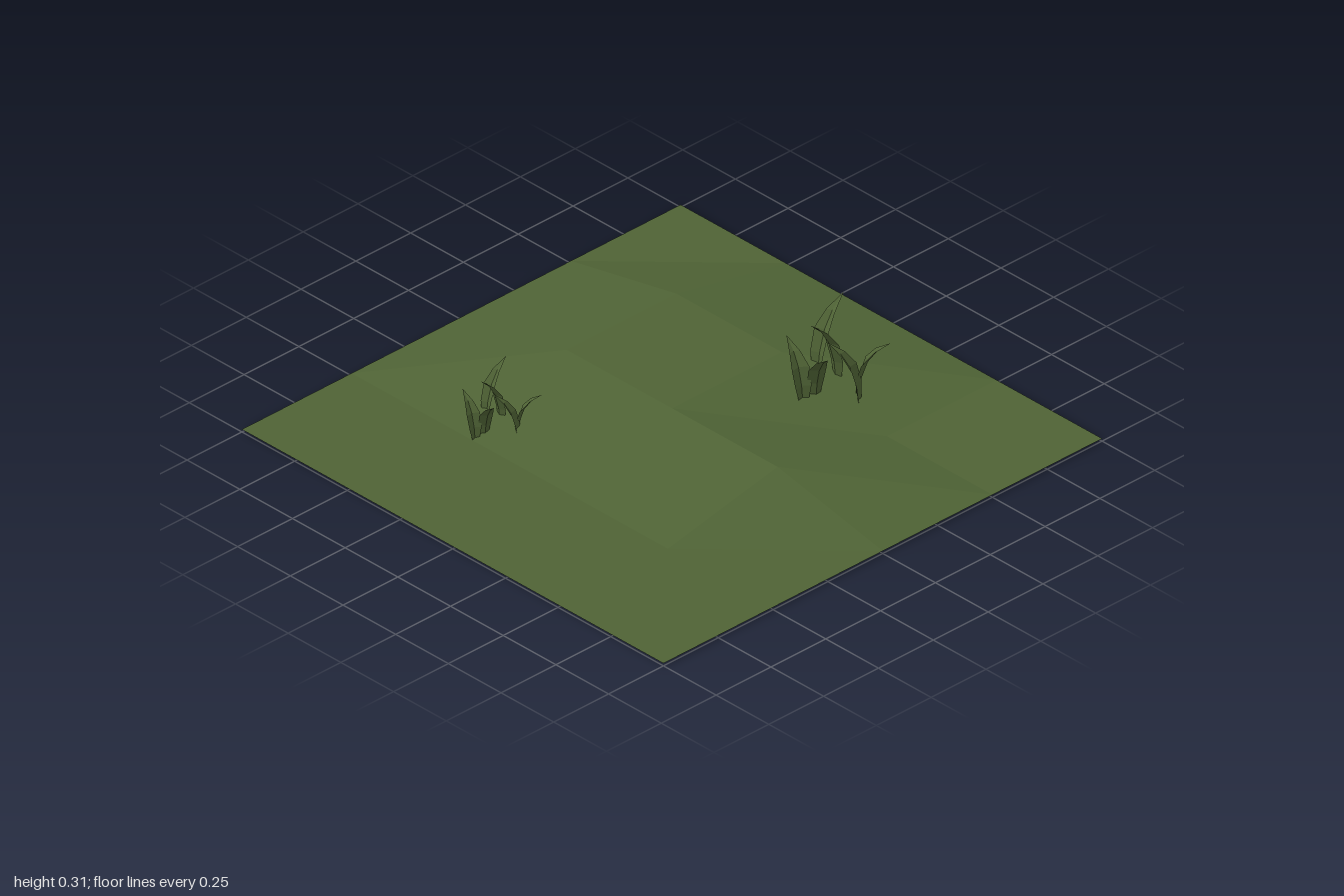
import * as THREE from 'three';

const material = new THREE.MeshStandardMaterial({
  color: 0x4f6335, flatShading: true, side: THREE.DoubleSide,
});

// Low-poly ground: a 4 x 4 grid with a few raised inner corners
function makeGround() {
  const geo = new THREE.PlaneGeometry(2, 2, 4, 4).rotateX(-Math.PI / 2);
  const p = geo.attributes.position;
  const raised = [[-0.5, -0.5], [0, -0.5], [-0.5, 0], [0, 0], [0.5, 0]];
  for (let i = 0; i < p.count; i++) {
    const up = raised.some(([x, z]) => Math.hypot(p.getX(i) - x, p.getZ(i) - z) < 0.01);
    p.setY(i, up ? 0.11 : 0.01);
  }
  const flat = geo.toNonIndexed();
  flat.computeVertexNormals();
  const mesh = new THREE.Mesh(flat, material);
  mesh.name = 'ground';
  return mesh;
}

// Leaf cross-sections: height fraction, half width, lean fraction
const SECTIONS = [[0, 0.016, 0], [0.3, 0.03, 0.08], [0.6, 0.033, 0.27], [0.82, 0.02, 0.57], [1, 0, 1]];

// A folded blade (left edge, midrib, right edge) curving from its base to its tip
function makeBlade([bx, bz], [tx, tz], baseY, tipY) {
  const len = Math.hypot(tx - bx, tz - bz);
  const dx = (tx - bx) / len, dz = (tz - bz) / len;
  const pos = [], index = [];
  SECTIONS.forEach(([h, w, lean], row) => {
    for (const side of [-1, 0, 1]) {
      const out = len * lean - Math.abs(side) * w * 0.45; // edges fold inward
      pos.push(bx + dx * out - dz * w * side, baseY + (tipY - baseY) * h, bz + dz * out + dx * w * side);
    }
    if (row === 0) return;
    for (let k = 0; k < 2; k++) {
      const a = (row - 1) * 3 + k, b = a + 3;
      index.push(a, b, a + 1);
      if (w > 0) index.push(a + 1, b, b + 1);
    }
  });
  const geo = new THREE.BufferGeometry();
  geo.setAttribute('position', new THREE.Float32BufferAttribute(pos, 3));
  geo.setIndex(index);
  const flat = geo.toNonIndexed();
  flat.computeVertexNormals();
  const mesh = new THREE.Mesh(flat, material);
  mesh.name = 'grassBlade';
  return mesh;
}

// Three pairs of blades leaning away from each other: base, tip, base height, tip height
const BLADES = [
  [[0.107, -0.56], [0.107, -0.68], 0.045, 0.315],
  [[0.18, -0.575], [0.18, -0.455], 0.045, 0.315],
  [[0.285, -0.58], [0.375, -0.638], 0.045, 0.255],
  [[0.315, -0.545], [0.228, -0.49], 0.045, 0.255],
  [[0.215, -0.45], [0.31, -0.415], 0.05, 0.255],
  [[0.205, -0.4], [0.1, -0.425], 0.05, 0.255],
];

function makeTuft(name) {
  const tuft = new THREE.Group();
  tuft.name = name;
  for (const blade of BLADES) tuft.add(makeBlade(...blade));
  return tuft;
}

export function createModel() {
  const model = new THREE.Group();
  model.name = 'grassyGround';

  const small = makeTuft('smallGrassTuft');
  small.scale.setScalar(0.76);
  small.position.set(-0.584, -0.034, 0.79);

  model.add(makeGround(), makeTuft('largeGrassTuft'), small);
  return model;
}
